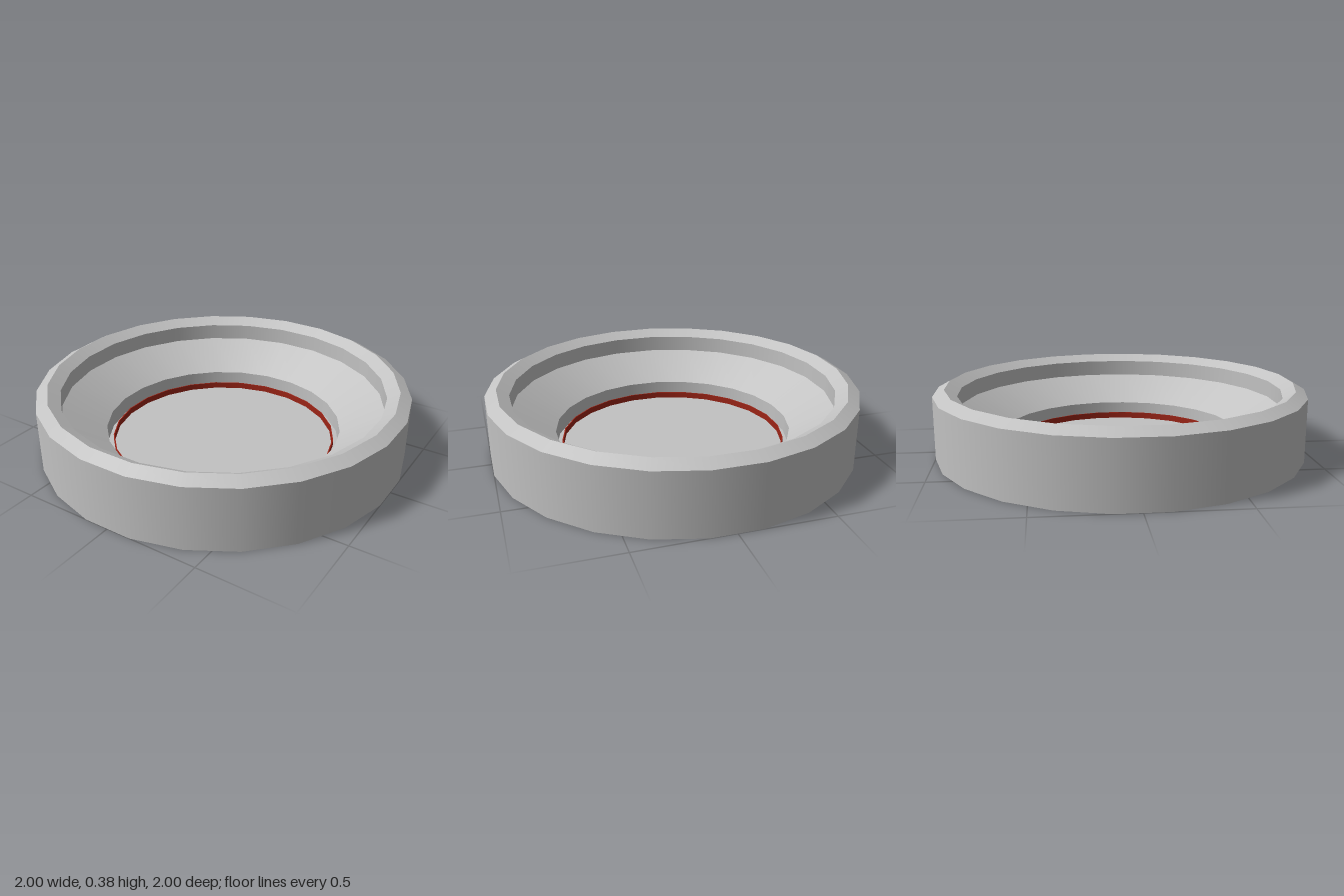
import * as THREE from 'three';

const SIDES = 24;
const HALF_STEP = Math.PI / SIDES;

export function createModel() {
  const model = new THREE.Group();
  model.name = 'roundDish';

  const grey = new THREE.MeshStandardMaterial({ color: 0xc2c2c2, side: THREE.DoubleSide });
  grey.name = 'light grey';
  const red = new THREE.MeshStandardMaterial({ color: 0x9c2416, side: THREE.DoubleSide });
  red.name = 'dark red';

  // One band of the turned shell, smooth around and sharp at its borders.
  // Radii are measured to the middle of the flat sides.
  function band(name, from, to, material) {
    const points = [from, to].map(([r, y]) => new THREE.Vector2(r / Math.cos(HALF_STEP), y));
    const mesh = new THREE.Mesh(new THREE.LatheGeometry(points, SIDES, HALF_STEP), material);
    mesh.name = name;
    model.add(mesh);
  }

  // Shell: up the outside, over the ridge and down the funnel to the floor
  const profile = [[1, 0], [1, 0.34], [0.938, 0.375], [0.873, 0.337], [0.873, 0.246],
    [0.643, 0.107], [0.643, 0.015], [0, 0.015]];
  const names = ['outerWall', 'outerBevel', 'innerBevel', 'innerLip', 'funnel', 'wellWall', 'floor'];
  names.forEach((name, i) => band(name, profile[i], profile[i + 1], grey));

  // Thin red ring standing on the floor
  const ring = [[0.612, 0.015], [0.612, 0.05], [0.606, 0.05], [0.606, 0.015]];
  ['redRingOuter', 'redRingTop', 'redRingInner'].forEach((name, i) => band(name, ring[i], ring[i + 1], red));

  return model;
}
